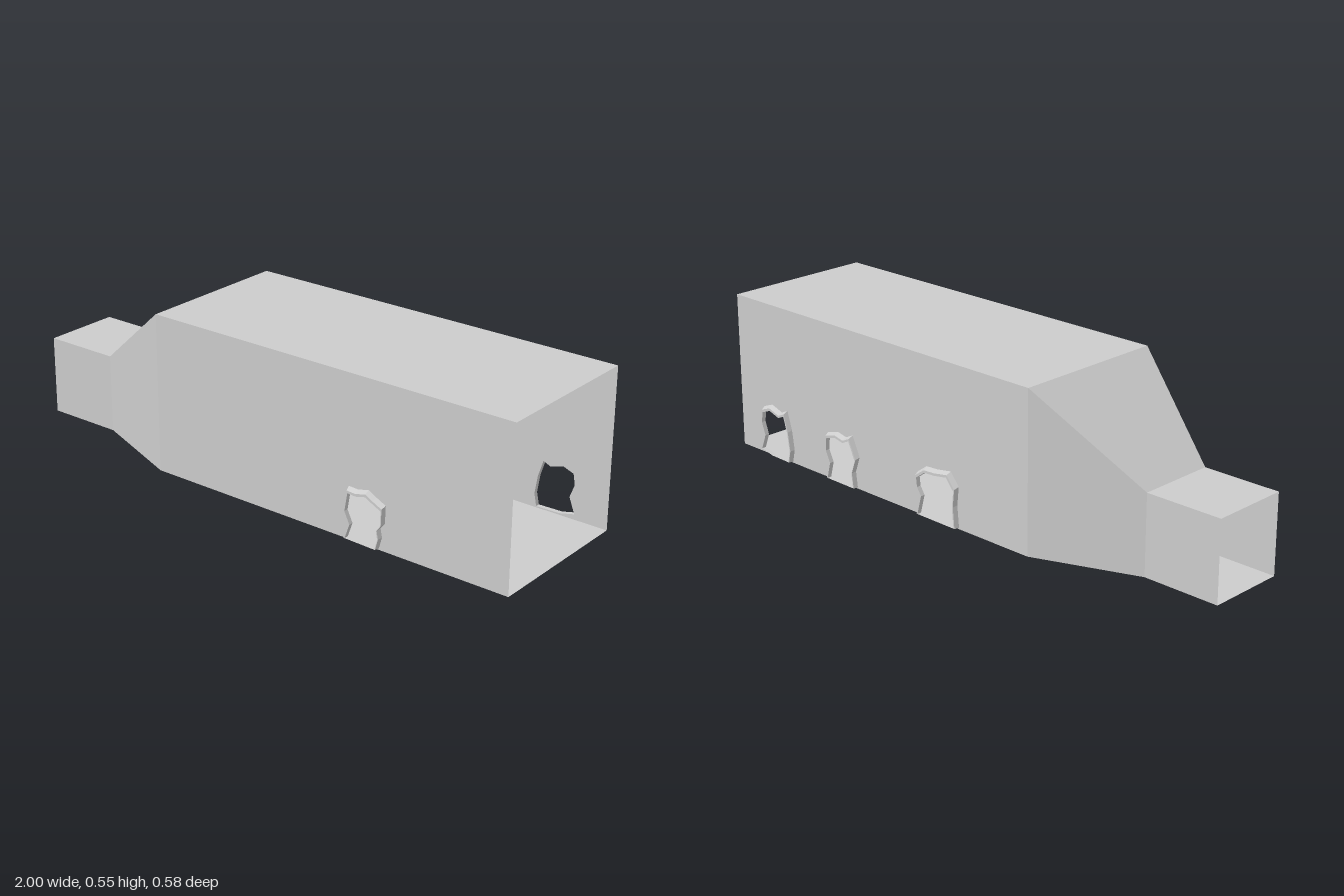
import * as THREE from 'three';

const material = new THREE.MeshStandardMaterial({ color: 0xcccccc, flatShading: true, side: THREE.DoubleSide });

// Ragged opening outlines as [x, y] on the long walls
const frontHoles = [
  [[0.405, 0.008], [0.425, 0.065], [0.403, 0.11], [0.415, 0.18], [0.45, 0.178], [0.49, 0.188],
    [0.52, 0.172], [0.555, 0.155], [0.553, 0.095], [0.537, 0.075], [0.543, 0.045], [0.532, 0.005]],
];
const backHoles = [
  [[0.735, 0.004], [0.725, 0.05], [0.735, 0.12], [0.755, 0.185], [0.785, 0.172], [0.835, 0.188],
    [0.878, 0.172], [0.885, 0.13], [0.867, 0.08], [0.89, 0.02], [0.83, 0.006]],
  [[0.403, 0.004], [0.41, 0.06], [0.39, 0.115], [0.422, 0.185], [0.455, 0.17], [0.495, 0.178],
    [0.545, 0.165], [0.55, 0.115], [0.528, 0.07], [0.545, 0.005]],
  [[-0.075, 0.004], [-0.068, 0.08], [-0.075, 0.145], [-0.04, 0.188], [0.02, 0.178], [0.07, 0.175],
    [0.112, 0.145], [0.108, 0.11], [0.088, 0.08], [0.108, 0.005]],
];

// Shrinks an outline towards the middle of its foot
function shrink(outline, s) {
  const xs = outline.map((p) => p[0]);
  const cx = (Math.min(...xs) + Math.max(...xs)) / 2;
  return outline.map(([x, y]) => new THREE.Vector2(cx + (x - cx) * s, 0.004 + (y - 0.004) * s));
}

function addMesh(group, name, geometry) {
  const mesh = new THREE.Mesh(geometry, material);
  mesh.name = name;
  group.add(mesh);
}

// Flat panel from corners running around its edge
function panel(corners) {
  const g = new THREE.BufferGeometry();
  g.setAttribute('position', new THREE.Float32BufferAttribute(corners.flat(), 3));
  const index = [];
  for (let i = 1; i < corners.length - 1; i++) index.push(0, i, i + 1);
  g.setIndex(index);
  g.computeVertexNormals();
  return g;
}

// Collar around an opening: inner reveal, narrow lip, sloping outside
function collar(outline, z, side) {
  const rings = [[0.9, 0], [0.9, 0.016], [0.95, 0.016], [1, 0]];
  const n = outline.length, positions = [], index = [];
  for (const [s, d] of rings) {
    for (const p of shrink(outline, s)) positions.push(p.x, p.y, z + side * d);
  }
  for (let r = 0; r < rings.length - 1; r++) {
    for (let i = 0; i < n; i++) {
      const a = r * n + i, b = r * n + (i + 1) % n;
      if (side > 0) index.push(a, a + n, b, b, a + n, b + n);
      else index.push(a, b, a + n, b, b + n, a + n);
    }
  }
  const g = new THREE.BufferGeometry();
  g.setAttribute('position', new THREE.Float32BufferAttribute(positions, 3));
  g.setIndex(index);
  g.computeVertexNormals();
  return g;
}

export function createModel() {
  const group = new THREE.Group();
  group.name = 'taperedTunnel';

  // Cross-sections of the duct along x: half width and height
  const sections = [
    { x: -1, w: 0.138, h: 0.275 },
    { x: -0.725, w: 0.138, h: 0.275 },
    { x: -0.372, w: 0.275, h: 0.55 },
    { x: 1, w: 0.275, h: 0.55 },
  ];
  const names = ['neck', 'taper', 'hall'];

  for (let i = 0; i < 3; i++) {
    const a = sections[i], b = sections[i + 1];
    addMesh(group, names[i] + 'Floor', panel([[a.x, 0, -a.w], [b.x, 0, -b.w], [b.x, 0, b.w], [a.x, 0, a.w]]));
    addMesh(group, names[i] + 'Roof', panel([[a.x, a.h, a.w], [b.x, b.h, b.w], [b.x, b.h, -b.w], [a.x, a.h, -a.w]]));
    if (i === 2) continue;
    addMesh(group, names[i] + 'FrontWall', panel([[a.x, 0, a.w], [b.x, 0, b.w], [b.x, b.h, b.w], [a.x, a.h, a.w]]));
    addMesh(group, names[i] + 'BackWall', panel([[a.x, a.h, -a.w], [b.x, b.h, -b.w], [b.x, 0, -b.w], [a.x, 0, -a.w]]));
  }

  // Long hall walls pierced by the ragged openings
  const [start, end] = [sections[2], sections[3]];
  for (const [label, side, holes] of [['Front', 1, frontHoles], ['Back', -1, backHoles]]) {
    const shape = new THREE.Shape([
      new THREE.Vector2(start.x, 0), new THREE.Vector2(end.x, 0),
      new THREE.Vector2(end.x, end.h), new THREE.Vector2(start.x, start.h),
    ]);
    shape.holes = holes.map((o) => new THREE.Path(shrink(o, 0.9)));
    const wall = new THREE.ShapeGeometry(shape);
    if (side < 0) {
      // Turn the back wall's faces outward
      wall.index.array.reverse();
      wall.computeVertexNormals();
    }
    wall.translate(0, 0, side * end.w);
    addMesh(group, 'hall' + label + 'Wall', wall);
    holes.forEach((o, i) => addMesh(group, 'opening' + label + 'Collar' + (i + 1), collar(o, side * end.w, side)));
  }
  return group;
}
